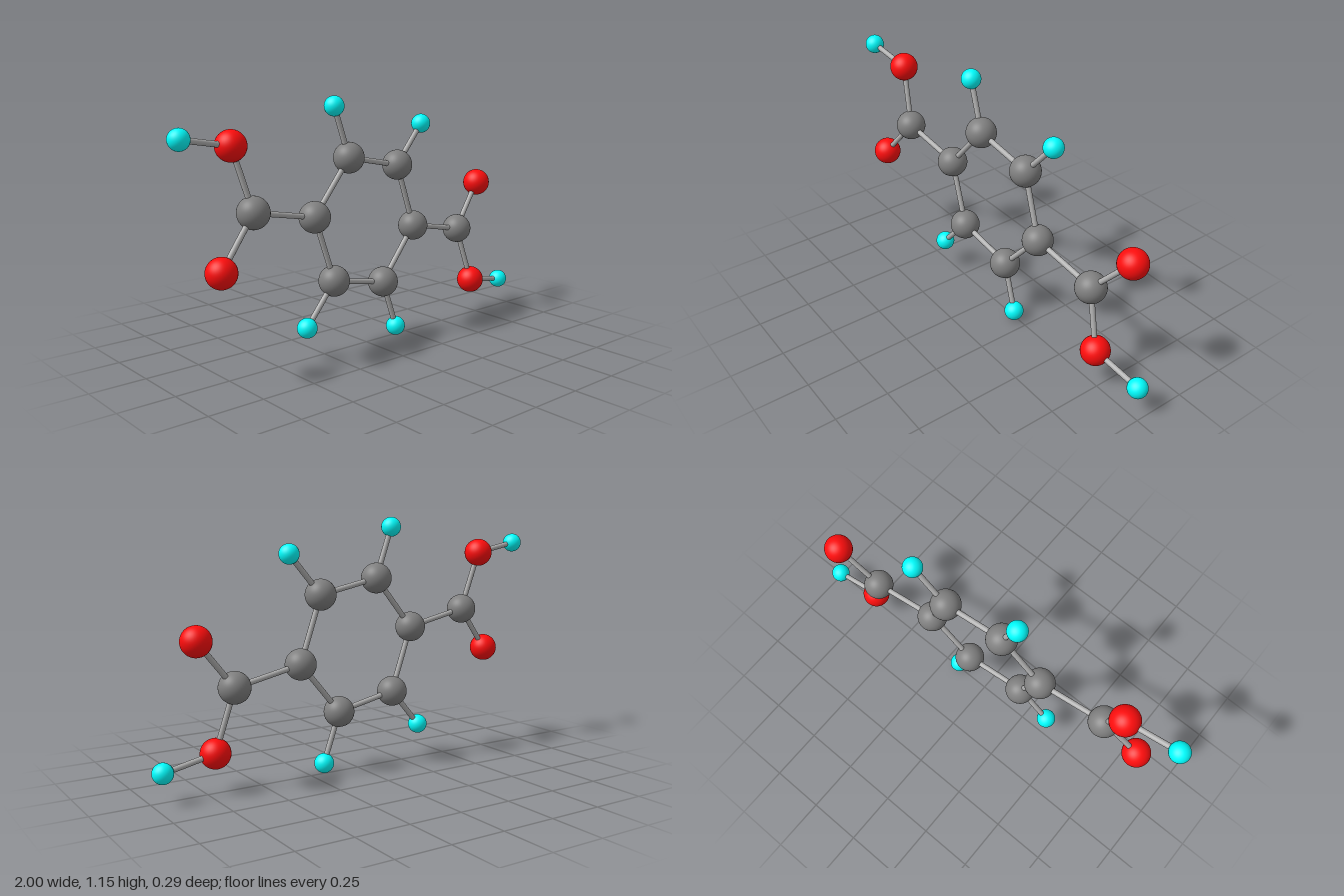
import * as THREE from 'three';

const CENTRE_Y = 0.578;
const BOND_RADIUS = 0.0125;

const KINDS = {
  carbon: { radius: 0.07, color: 0x808080 },
  oxygen: { radius: 0.066, color: 0xff0d0d },
  hydrogen: { radius: 0.045, color: 0x00ffff },
};

// Half of the molecule, relative to its centre; the other half is its point reflection
const ATOMS = {
  ringInner: ['carbon', 0.306, -0.061, -0.014],
  ringUpper: ['carbon', 0.205, 0.24, -0.018],
  ringTop: ['carbon', -0.098, 0.3, -0.005],
  carboxyl: ['carbon', 0.634, -0.125, -0.036],
  doubleOxygen: ['oxygen', 0.817, 0.088, -0.077],
  hydroxylOxygen: ['oxygen', 0.715, -0.401, -0.01],
  hydroxylHydrogen: ['hydrogen', 0.955, -0.444, -0.03],
  upperHydrogen: ['hydrogen', 0.367, 0.422, -0.031],
  topHydrogen: ['hydrogen', -0.176, 0.531, -0.009],
};

const BONDS = [
  ['ringInner', 'ringUpper'],
  ['ringUpper', 'ringTop'],
  ['ringInner', 'carboxyl'],
  ['carboxyl', 'doubleOxygen'],
  ['carboxyl', 'hydroxylOxygen'],
  ['hydroxylOxygen', 'hydroxylHydrogen'],
  ['ringUpper', 'upperHydrogen'],
  ['ringTop', 'topHydrogen'],
];

export function createModel() {
  const model = new THREE.Group();
  model.name = 'molecule';

  const bondMaterial = new THREE.MeshStandardMaterial({ color: 0xb0b0b0 });
  const bondGeometry = new THREE.CylinderGeometry(BOND_RADIUS, BOND_RADIUS, 1, 20);
  const balls = {};
  for (const [kind, { radius, color }] of Object.entries(KINDS)) {
    balls[kind] = {
      geometry: new THREE.SphereGeometry(radius, 40, 28),
      material: new THREE.MeshStandardMaterial({ color }),
    };
  }

  const position = (name, side) => {
    const [, x, y, z] = ATOMS[name];
    return new THREE.Vector3(x, y, z).multiplyScalar(side).add(new THREE.Vector3(0, CENTRE_Y, 0));
  };

  // Rod between two atom centres
  const addBond = (parent, a, b, name) => {
    const rod = new THREE.Mesh(bondGeometry, bondMaterial);
    const span = b.clone().sub(a);
    rod.name = name;
    rod.position.copy(a).add(b).multiplyScalar(0.5);
    rod.scale.y = span.length();
    rod.quaternion.setFromUnitVectors(new THREE.Vector3(0, 1, 0), span.normalize());
    parent.add(rod);
  };

  for (const side of [1, -1]) {
    const half = new THREE.Group();
    half.name = side > 0 ? 'leftHalf' : 'rightHalf';

    // Atom balls
    for (const [name, [kind]] of Object.entries(ATOMS)) {
      const ball = new THREE.Mesh(balls[kind].geometry, balls[kind].material);
      ball.name = name;
      ball.position.copy(position(name, side));
      half.add(ball);
    }

    // Bonds within the half, and the ring bond joining it to the other half
    for (const [a, b] of BONDS) addBond(half, position(a, side), position(b, side), 'bond');
    addBond(half, position('ringTop', side), position('ringInner', -side), 'ringClosingBond');

    model.add(half);
  }
  return model;
}
